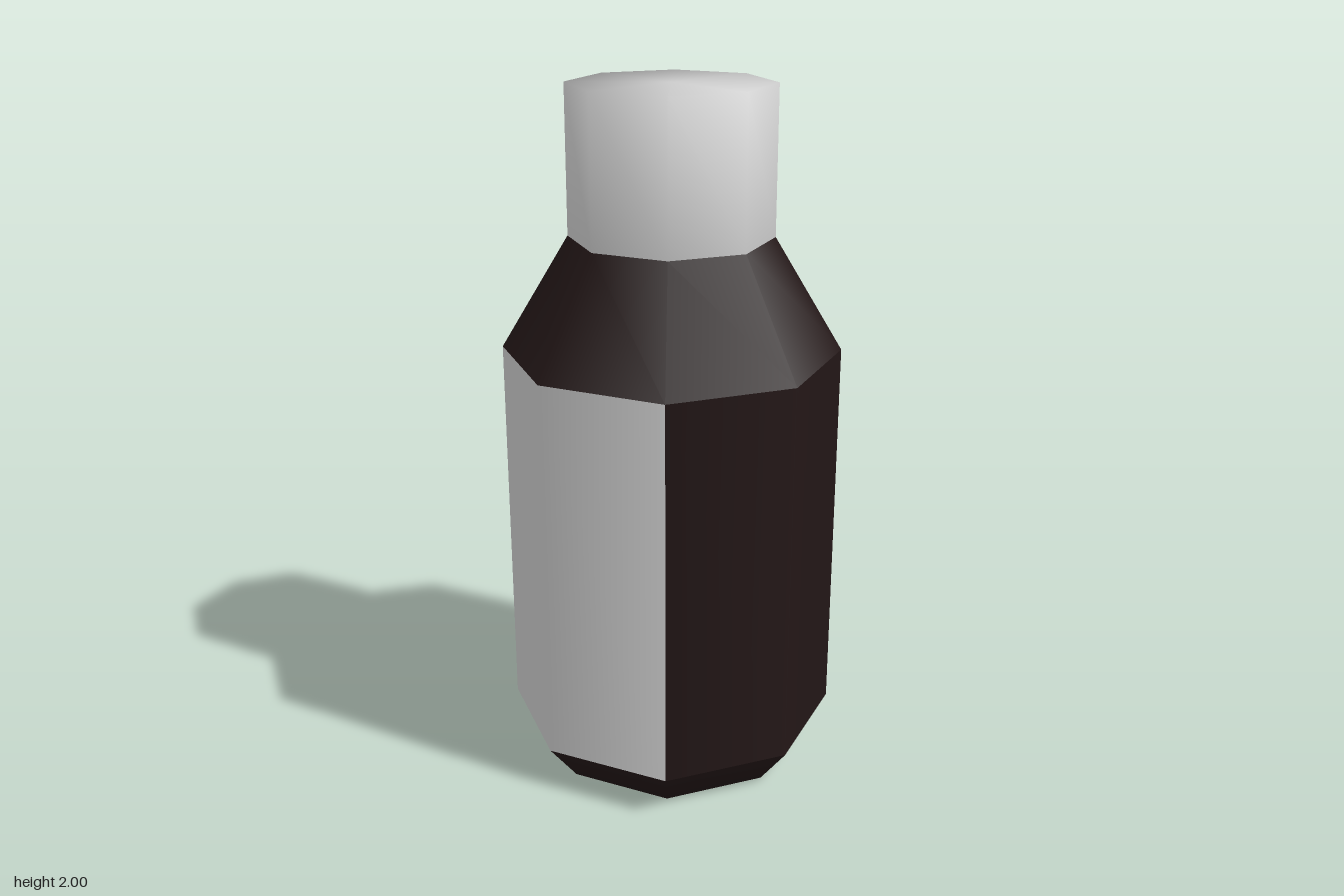
import * as THREE from 'three';

const SIDES = 8;
const STEP = (Math.PI * 2) / SIDES;

const dark = new THREE.MeshStandardMaterial({ color: 0x231717 });
const grey = new THREE.MeshStandardMaterial({ color: 0xcccccc });

// Turns a [radius, height] profile, listed bottom to top, around a number of octagon sides
function turned(name, profile, material, firstSide = 0, sides = SIDES) {
  const points = profile.map(([r, y]) => new THREE.Vector2(r, y));
  const geometry = new THREE.LatheGeometry(points, sides, firstSide * STEP, sides * STEP);
  const mesh = new THREE.Mesh(geometry, material);
  mesh.name = name;
  return mesh;
}

export function createModel() {
  const bottle = new THREE.Group();
  bottle.name = 'bottle';

  const rBase = 0.39, rBody = 0.485, rNeck = 0.29;
  const yBody = 0.125, yShoulder = 1.255, yNeck = 1.58, yTop = 2;
  const wall = [[rBody, yBody], [rBody, yShoulder]];

  bottle.add(
    // Closed, chamfered foot
    turned('base', [[0, 0], [rBase, 0], [rBody, yBody]], dark),
    // Label covers five sides from +x around the back; bare wall fills the other three
    turned('label', wall, grey, 2, 5),
    turned('bodyWall', wall, dark, 7, 3),
    // Sloping shoulder up to the neck
    turned('shoulder', [[rBody, yShoulder], [rNeck, yNeck]], dark),
    // Plain cap, closed on top
    turned('cap', [[rNeck, yNeck], [rNeck, yTop], [0, yTop]], grey)
  );
  return bottle;
}
